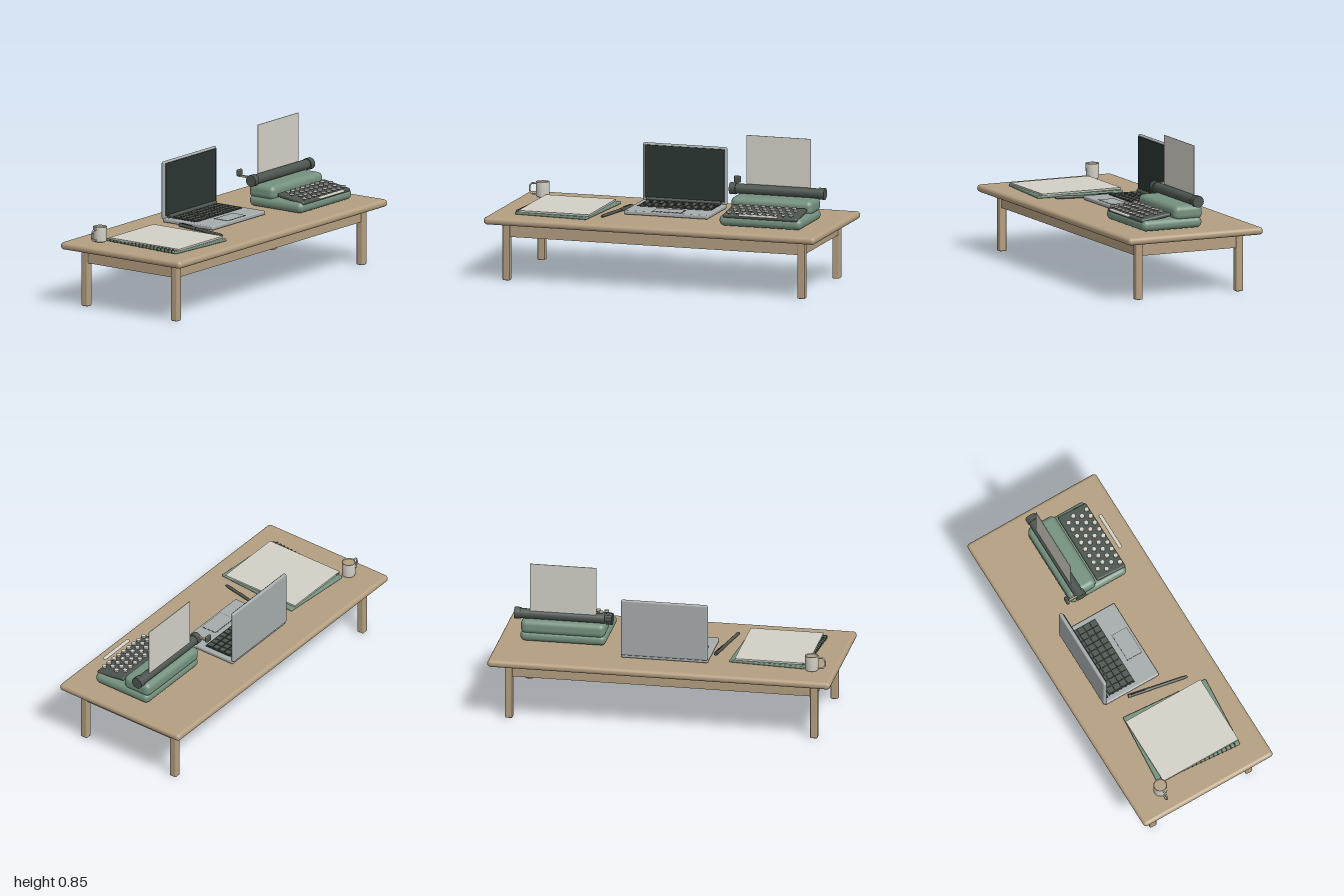
import * as THREE from 'three';
import { RoundedBoxGeometry } from 'three/addons/geometries/RoundedBoxGeometry.js';

const mat = (name, color, side = THREE.FrontSide) => {
  const m = new THREE.MeshStandardMaterial({ color, side });
  m.name = name;
  return m;
};

export function createModel() {
  const wood = mat('wood', 0xb49e80);
  const green = mat('sageGreen', 0x75917f);
  const silver = mat('silver', 0xa6abac);
  const charcoal = mat('charcoal', 0x4d554f);
  const dark = mat('darkGlass', 0x2b3532);
  const ivory = mat('ivory', 0xd2d0c6, THREE.DoubleSide);

  const root = new THREE.Group();
  root.name = 'writingDesk';
  const group = (name, parent = root) => {
    const g = new THREE.Group();
    g.name = name;
    parent.add(g);
    return g;
  };
  const add = (parent, name, geo, m, x = 0, y = 0, z = 0) => {
    const mesh = new THREE.Mesh(geo, m);
    mesh.name = name;
    mesh.position.set(x, y, z);
    parent.add(mesh);
    return mesh;
  };
  const box = (w, h, d) => new THREE.BoxGeometry(w, h, d);
  const round = (w, h, d, r, s = 4) => new RoundedBoxGeometry(w, h, d, s, r);
  const rod = (r, h, n = 32) => new THREE.CylinderGeometry(r, r, h, n);
  const rodX = (r, h, n = 32) => rod(r, h, n).rotateZ(Math.PI / 2);

  // Table
  const table = group('table');
  add(table, 'tableTop', round(2, 0.043, 0.86, 0.02), wood, 0, 0.357, 0);
  for (const s of [-1, 1]) {
    for (const t of [-1, 1]) {
      add(table, 'leg', round(0.043, 0.34, 0.043, 0.006, 2), wood, s * 0.89, 0.17, t * 0.32);
    }
    add(table, 'sideApron', box(0.025, 0.085, 0.6), wood, s * 0.89, 0.297, 0);
    add(table, 'longApron', box(1.74, 0.085, 0.025), wood, 0, 0.297, s * 0.32);
  }

  // Laptop
  const laptop = group('laptop');
  add(laptop, 'base', round(0.507, 0.024, 0.36, 0.008), silver, -0.002, 0.394, -0.07);
  add(laptop, 'lid', round(0.507, 0.338, 0.022, 0.01), silver, -0.002, 0.569, -0.249);
  add(laptop, 'screen', box(0.48, 0.31, 0.006), dark, -0.002, 0.572, -0.236);
  add(laptop, 'hinge', rodX(0.011, 0.45, 20), charcoal, -0.002, 0.414, -0.226);
  add(laptop, 'keyboardPlate', box(0.446, 0.003, 0.172), dark, 0, 0.4065, -0.12);
  for (let r = 0; r < 4; r++) {
    for (let c = 0; c < 11; c++) {
      add(laptop, 'laptopKey', box(0.034, 0.006, 0.035), charcoal,
        (c - 5) * 0.0395, 0.41, -0.182 + r * 0.0415);
    }
  }
  // Trackpad outlined by a thin dark frame
  add(laptop, 'trackpadGap', box(0.178, 0.002, 0.1), charcoal, -0.002, 0.406, 0.045);
  add(laptop, 'trackpad', box(0.172, 0.003, 0.094), silver, -0.002, 0.4065, 0.045);

  // Typewriter body
  const tw = group('typewriter');
  const cx = 0.62;
  add(tw, 'lowerBody', round(0.5, 0.064, 0.38, 0.03, 6), green, cx, 0.415, 0.085);
  add(tw, 'upperBody', round(0.492, 0.085, 0.182, 0.032, 6), green, cx, 0.473, -0.019);
  add(tw, 'keyPanel', round(0.45, 0.022, 0.192, 0.01), charcoal, cx, 0.455, 0.18)
    .rotation.x = 0.145;

  // Typewriter keys: rows of nine and eight, rising to the back
  for (let r = 0; r < 4; r++) {
    const n = r % 2 ? 8 : 9;
    const y = 0.467 + r * 0.0055, z = 0.255 - r * 0.0445;
    for (let c = 0; c < n; c++) {
      const x = cx - 0.005 + (c - (n - 1) / 2) * 0.0467;
      add(tw, 'keyCap', rod(0.0135, 0.01, 16), ivory, x, y, z);
      add(tw, 'keyStem', rod(0.005, 0.03, 8), charcoal, x, y - 0.018, z);
    }
  }
  add(tw, 'spaceBar', round(0.235, 0.015, 0.022, 0.007), ivory, cx, 0.46, 0.305);

  // Platen, knobs, paper and return lever
  add(tw, 'platen', rodX(0.029, 0.54), charcoal, cx, 0.541, -0.06);
  for (const s of [-1, 1]) {
    add(tw, 'platenKnob', rodX(0.034, 0.036), charcoal, cx + s * 0.268, 0.541, -0.058);
  }
  add(tw, 'paperSheet', box(0.388, 0.3, 0.004), ivory, cx, 0.703, -0.075);
  add(tw, 'leverArm', box(0.012, 0.011, 0.085), wood, 0.346, 0.559, -0.108);
  add(tw, 'leverGrip', round(0.042, 0.04, 0.018, 0.008), charcoal, 0.347, 0.577, -0.148);

  // Notebook with ring binding and loose pages
  const notebook = group('notebook');
  const cover = group('coverAndRings', notebook);
  cover.position.set(-0.613, 0.387, 0.045);
  cover.rotation.y = -0.075;
  add(cover, 'cover', round(0.445, 0.016, 0.53, 0.006, 2), green);
  for (let i = 0; i < 18; i++) {
    add(cover, 'bindingRing', new THREE.TorusGeometry(0.011, 0.003, 6, 14), charcoal,
      -0.213, 0.003, (i - 8.5) * 0.0275);
  }
  add(notebook, 'pages', box(0.425, 0.01, 0.5), ivory, -0.617, 0.4, 0.046);

  // Pen
  const pen = group('pen');
  pen.position.set(-0.31, 0.39, 0.067);
  pen.rotation.y = Math.atan2(-0.07, 0.355);
  const rodZ = (r1, r2, h) => new THREE.CylinderGeometry(r1, r2, h, 16).rotateX(Math.PI / 2);
  add(pen, 'barrel', rodZ(0.009, 0.009, 0.2), charcoal, 0, 0, 0.06);
  add(pen, 'cap', rodZ(0.0105, 0.0105, 0.14), charcoal, 0, 0, -0.11);
  add(pen, 'penEnd', rodZ(0.006, 0.009, 0.02), charcoal, 0, 0, 0.17);
  add(pen, 'clip', box(0.005, 0.004, 0.09), dark, 0, 0.012, -0.12);

  // Mug with drink and handle
  const mug = group('mug');
  mug.position.set(-0.861, 0.384, -0.245);
  const wall = [[0, 0], [0.033, 0], [0.038, 0.004], [0.039, 0.088], [0.036, 0.088], [0.035, 0.07]]
    .map(([x, y]) => new THREE.Vector2(x, y));
  add(mug, 'cup', new THREE.LatheGeometry(wall, 36), ivory);
  add(mug, 'drink', rod(0.0355, 0.004, 36), wood, 0, 0.08, 0);
  const loop = new THREE.CatmullRomCurve3(
    [[-0.036, 0.074], [-0.066, 0.074], [-0.077, 0.058], [-0.077, 0.03], [-0.064, 0.014], [-0.036, 0.014]]
      .map(([x, y]) => new THREE.Vector3(x, y, 0)));
  add(mug, 'handle', new THREE.TubeGeometry(loop, 28, 0.005, 8), ivory);

  return root;
}
